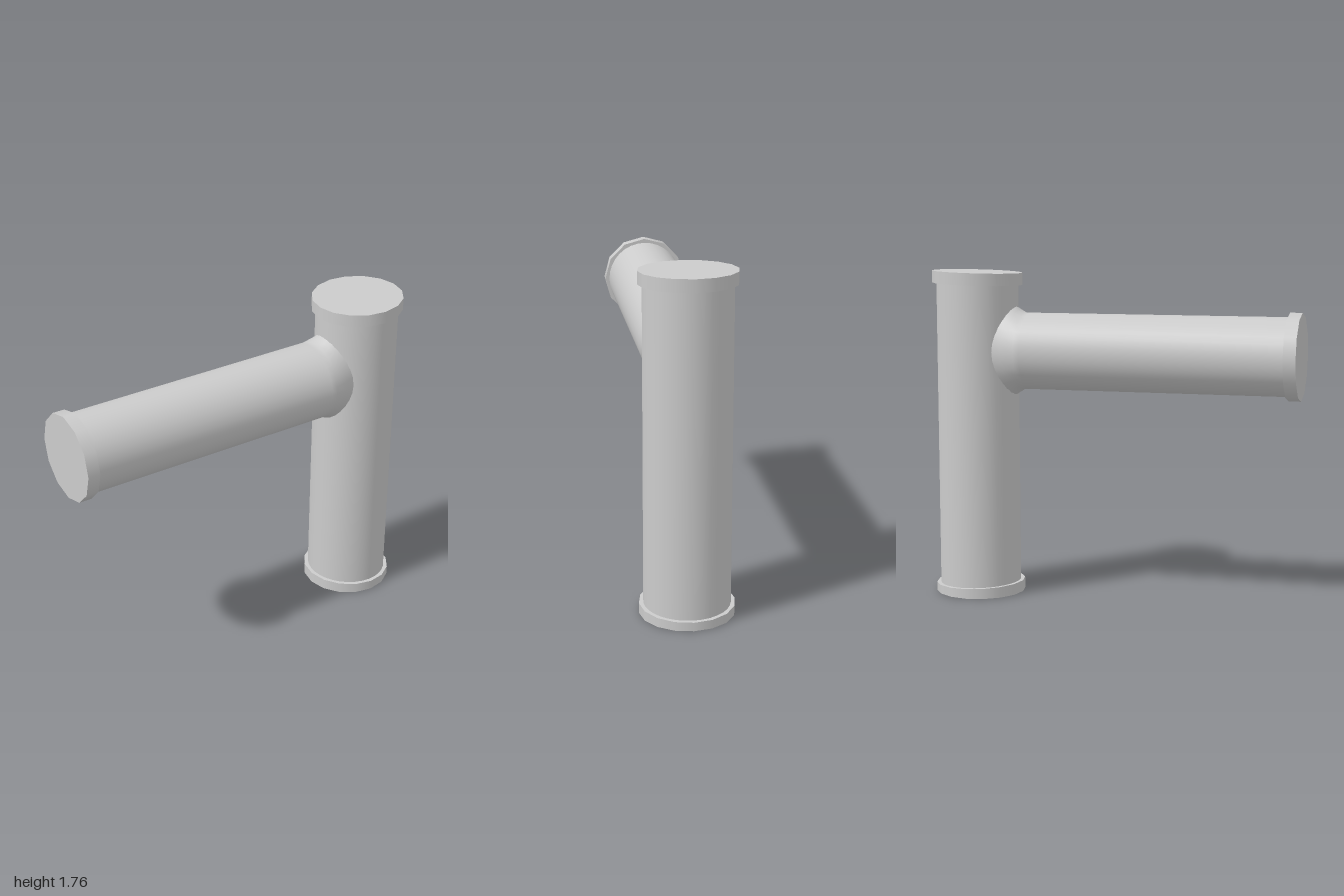
import * as THREE from 'three';
import { mergeVertices } from 'three/addons/utils/BufferGeometryUtils.js';

const POST_X = 0.757, POST_R = 0.22;
const ARM_Y = 1.326, ARM_R = 0.205;

// Apply a rule to every vertex of a geometry
function bend(geometry, rule) {
  const p = geometry.attributes.position;
  const v = new THREE.Vector3();
  for (let i = 0; i < p.count; i++) {
    rule(v.fromBufferAttribute(p, i));
    p.setXYZ(i, v.x, v.y, v.z);
  }
  return geometry;
}

export function createModel() {
  const group = new THREE.Group();
  const material = new THREE.MeshStandardMaterial({ color: 0xcccccc });
  const add = (name, geometry, x, y) => {
    const mesh = new THREE.Mesh(geometry, material);
    mesh.name = name;
    mesh.position.set(x, y, 0);
    group.add(mesh);
  };

  // Upright pipe
  add('uprightPipe', new THREE.CylinderGeometry(POST_R, POST_R, 1.68, 32, 1, true), POST_X, 0.87);

  // End flanges of the upright pipe, slightly skewed
  const flange = () => new THREE.CylinderGeometry(0.243, 0.243, 0.065, 16);
  add('topFlange', bend(flange(), v => { v.y += v.x * 0.031; }), POST_X, 1.715);
  add('bottomFlange', bend(flange(), v => {
    v.y = v.y < 0 ? 0 : 0.053 - v.x * 0.031;
  }), POST_X, 0);

  // Side pipe: straight rings, then a collar that wraps onto the upright pipe
  const rings = [-0.96, 0.46, 0.49, 0.54, 0.6];
  const arm = new THREE.CylinderGeometry(ARM_R, ARM_R, 4, 32, rings.length - 1, true);
  arm.rotateZ(Math.PI / 2);
  bend(arm, v => {
    const k = Math.round(v.x + 2);
    const t = Math.max(0, k - 2) / 2;
    const z0 = v.z, y0 = v.y;
    v.z = z0 * (1 - 0.17 * t);
    v.y = y0 * (1 + 0.18 * t);
    const contact = POST_X + 0.01 - Math.sqrt(POST_R ** 2 - v.z ** 2);
    v.x = k < 3 ? rings[k] : THREE.MathUtils.lerp(rings[2], contact, t);
  });
  arm.deleteAttribute('uv');
  arm.deleteAttribute('normal');
  const armSmooth = mergeVertices(arm, 1e-4);
  armSmooth.computeVertexNormals();
  add('sidePipe', armSmooth, 0, ARM_Y);

  // End flange of the side pipe
  const sideFlange = new THREE.CylinderGeometry(0.228, 0.228, 0.065, 12);
  sideFlange.rotateZ(Math.PI / 2);
  add('sideFlange', sideFlange, -0.9675, ARM_Y);

  return group;
}
